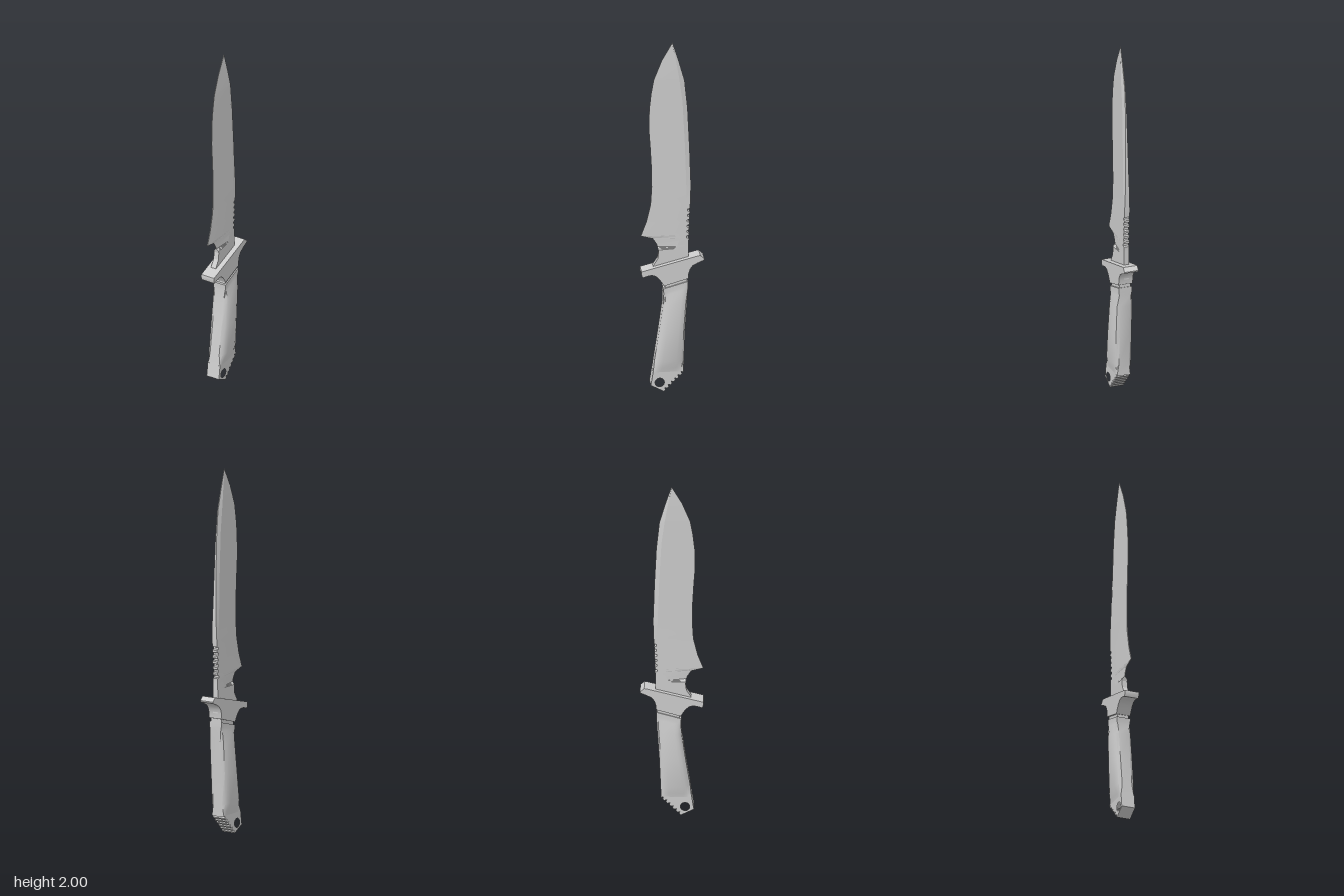
import * as THREE from 'three';
import { toCreasedNormals } from 'three/addons/utils/BufferGeometryUtils.js';

const material = new THREE.MeshStandardMaterial({ color: 0xcccccc });

function addMesh(group, name, geometry, crease = 0.5) {
  const mesh = new THREE.Mesh(toCreasedNormals(geometry, crease), material);
  mesh.name = name;
  group.add(mesh);
  return mesh;
}

// Skin a stack of closed cross-sections (bottom to top) and cap both ends.
function loft(sections) {
  const out = [];
  const tri = (...pts) => pts.forEach((p) => out.push(p[0], p[1], p[2]));
  const n = sections[0].length;
  for (let i = 0; i < sections.length - 1; i++) {
    const lo = sections[i], hi = sections[i + 1];
    for (let j = 0; j < n; j++) {
      const k = (j + 1) % n;
      tri(lo[j], lo[k], hi[k]);
      tri(lo[j], hi[k], hi[j]);
    }
  }
  const cap = (s, top) => {
    const c = [0, 1, 2].map((a) => s.reduce((sum, p) => sum + p[a], 0) / n);
    s.forEach((p, j) => (top ? tri(c, p, s[(j + 1) % n]) : tri(c, s[(j + 1) % n], p)));
  };
  cap(sections[0], false);
  cap(sections[sections.length - 1], true);
  const g = new THREE.BufferGeometry();
  g.setAttribute('position', new THREE.Float32BufferAttribute(out, 3));
  g.computeVertexNormals();
  return g;
}

// Extrude a side profile given as [z, y] across the width in x.
function slab(points, width, cx, hole) {
  const shape = new THREE.Shape(points.map(([z, y]) => new THREE.Vector2(z, y)));
  if (hole) shape.holes.push(new THREE.Path().absarc(hole[0], hole[1], hole[2], 0, Math.PI * 2, true));
  const g = new THREE.ExtrudeGeometry(shape, { depth: width, bevelEnabled: false, curveSegments: 10 });
  return g.rotateY(-Math.PI / 2).translate(cx + width / 2, 0, 0);
}

// Piecewise linear lookup in a list of [y, value].
function at(list, y) {
  if (y <= list[0][0]) return list[0][1];
  for (let i = 1; i < list.length; i++) {
    const [y0, v0] = list[i - 1], [y1, v1] = list[i];
    if (y <= y1) return v0 + ((v1 - v0) * (y - y0)) / (y1 - y0);
  }
  return list[list.length - 1][1];
}

function bladeGeometry() {
  // Cutting edge, including the hooked heel and the finger notch
  const edge = [[0.68, 0.105], [0.72, 0.105], [0.76, 0.08], [0.8, 0.075], [0.815, 0.078], [0.84, 0.085],
    [0.872, 0.105], [0.89, 0.17], [0.97, 0.14], [1.07, 0.117], [1.17, 0.111], [1.29, 0.113], [1.4, 0.119],
    [1.5, 0.126], [1.62, 0.124], [1.71, 0.114], [1.79, 0.1], [1.9, 0.057], [2, 0.001]];
  // Spine, with a row of small thumb notches
  const spine = [[0.68, -0.085], [0.86, -0.086]];
  for (let i = 0; i < 6; i++) {
    const y = 0.87 + i * 0.031, z = -0.087 - i * 0.001;
    spine.push([y, z], [y + 0.004, z + 0.012], [y + 0.014, z + 0.012], [y + 0.019, z]);
  }
  spine.push([1.08, -0.095], [1.18, -0.098], [1.4, -0.091], [1.62, -0.081], [1.78, -0.065], [1.89, -0.035], [2, -0.001]);
  // Ridge between the main grind and the false edge
  const ridge = [[0.68, -0.02], [0.82, -0.02], [0.9, -0.05], [1.1, -0.075], [1.4, -0.066], [1.66, -0.053],
    [1.8, -0.035], [1.9, -0.018], [2, 0]];
  const edgeHalf = [[0.81, 0.015], [0.825, 0.002], [2, 0.001]];
  const ridgeHalf = [[1.2, 0.015], [1.8, 0.011], [2, 0.002]];
  const spineHalf = [[1.08, 0.015], [1.3, 0.009], [1.6, 0.004], [2, 0.001]];

  const ys = [...new Set([edge, spine, ridge, edgeHalf, spineHalf].flat().map((p) => p[0]))].sort((a, b) => a - b);
  const cx = -0.005;
  return loft(ys.map((y) => {
    const half = [[at(edge, y), at(edgeHalf, y)], [at(ridge, y), at(ridgeHalf, y)],
      [at(spine, y), Math.min(at(spineHalf, y), at(ridgeHalf, y))]];
    const right = half.map(([z, w]) => [cx + w, y, z]);
    const left = half.map(([z, w]) => [cx - w, y, z]).reverse();
    return [...right, ...left];
  }));
}

// Grip sections: front [z, y], back [z, y], half width, shoulder and edge half widths
function gripGeometry() {
  const rows = [
    [0.108, 0.115, -0.055, 0.115, 0.038, 0.038, 0.038],
    [0.105, 0.135, -0.056, 0.14, 0.042, 0.038, 0.034],
    [0.1, 0.18, -0.058, 0.18, 0.054, 0.043, 0.028],
    [0.076, 0.34, -0.065, 0.35, 0.055, 0.044, 0.028],
    [0.054, 0.5, -0.076, 0.52, 0.052, 0.043, 0.028],
    [0.051, 0.555, -0.079, 0.59, 0.04, 0.038, 0.034],
    [0.051, 0.57, -0.08, 0.607, 0.038, 0.038, 0.038],
    [0.053, 0.595, -0.08, 0.633, 0.038, 0.038, 0.038],
  ];
  return loft(rows.map(([zf, yf, zb, yb, w, s, e]) => {
    const half = [[0, e], [0.08, s], [0.16, (s + w) / 2], [0.27, w], [0.73, w], [0.84, (s + w) / 2], [0.93, s], [1, e]];
    const point = (sign) => ([t, x]) => [sign * x - 0.001, yf + (yb - yf) * t, zf + (zb - zf) * t];
    return [...half.map(point(1)), ...half.map(point(-1)).reverse()];
  }));
}

export function createModel() {
  const group = new THREE.Group();
  group.name = 'knife';

  addMesh(group, 'blade', bladeGeometry(), 0.12);

  // Slanted crossguard with concave undersides
  addMesh(group, 'guard', slab([
    [0.17, 0.7], [0.172, 0.685], [0.165, 0.665], [0.14, 0.673], [0.115, 0.677], [0.095, 0.671], [0.078, 0.656],
    [0.063, 0.635], [0.05, 0.612], [-0.08, 0.65], [-0.083, 0.68], [-0.09, 0.703], [-0.104, 0.723],
    [-0.13, 0.737], [-0.165, 0.752], [-0.167, 0.76], [-0.145, 0.78], [-0.128, 0.777],
  ], 0.08, -0.002));

  // Recessed neck between guard and grip
  addMesh(group, 'neck', slab([[0.044, 0.58], [0.044, 0.63], [-0.073, 0.66], [-0.073, 0.615]], 0.064, -0.002));

  addMesh(group, 'grip', gripGeometry(), 0.6);

  // Butt with lanyard hole and a ridged slope
  const butt = [[0.108, 0.118], [0.115, 0.07], [0.12, 0.04], [0.05, 0.003]];
  const teeth = 6;
  for (let i = 0; i < teeth; i++) {
    const p = (t) => [0.05 - 0.105 * t, 0.003 + 0.107 * t];
    const a = p((i + 0.5) / teeth), b = p((i + 0.75) / teeth), c = p((i + 1) / teeth);
    butt.push(a, [b[0] + 0.009, b[1] + 0.009], c);
  }
  butt.push([-0.055, 0.118]);
  addMesh(group, 'butt', slab(butt, 0.076, -0.001, [0.073, 0.056, 0.025]));

  return group;
}
